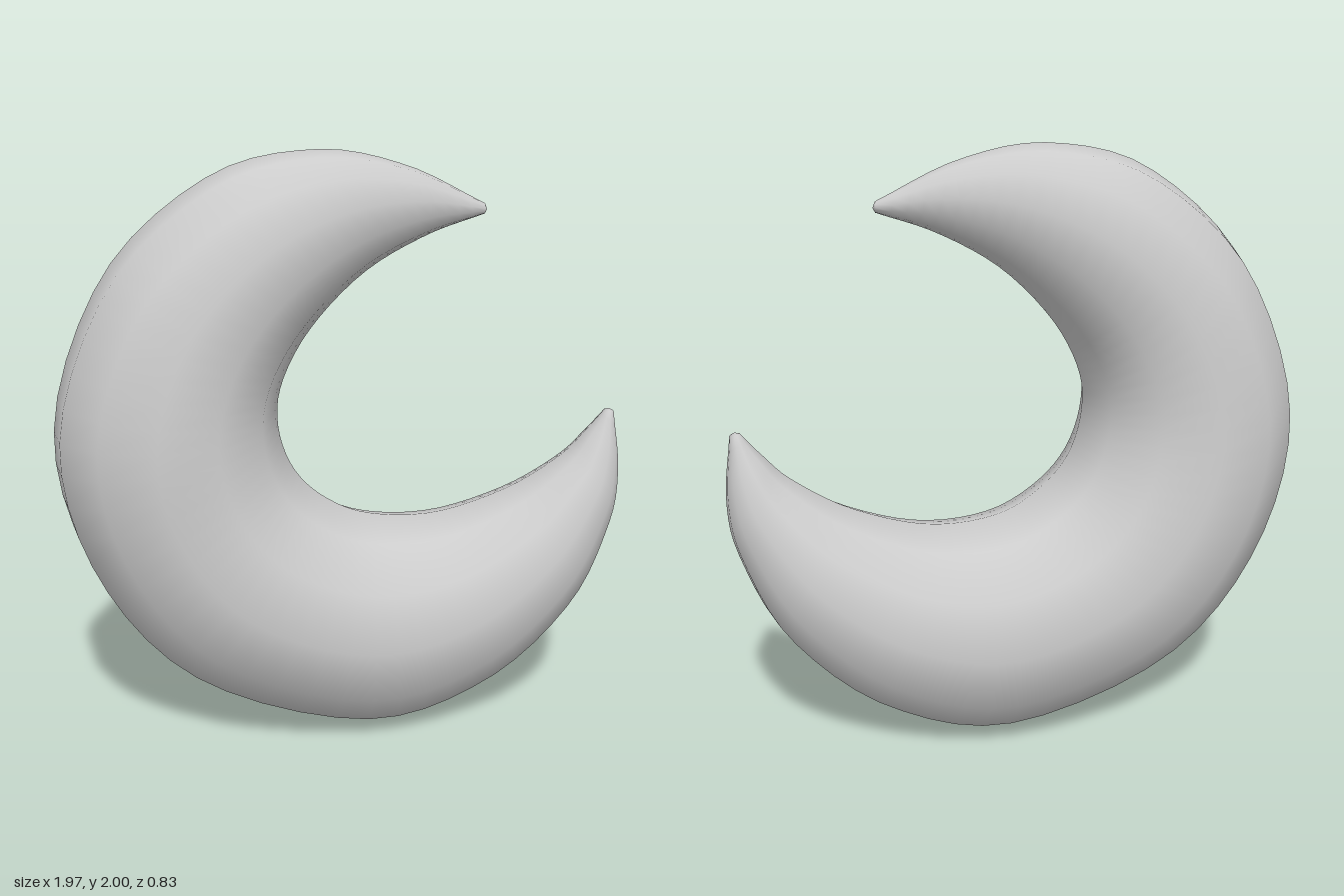
import * as THREE from 'three';

const SIDES = 12;
const STEPS = 60;

// Cross-sections along the crescent: outer x, y, inner x, y, centre z, half width in z
const SECTIONS = [
  [0.47, 1.825, 0.47, 1.79, -0.07, 0.02],
  [0.2, 1.95, 0.27, 1.72, -0.05, 0.11],
  [-0.1, 2.0, 0.06, 1.6, -0.03, 0.2],
  [-0.45, 1.915, -0.12, 1.42, 0, 0.29],
  [-0.8, 1.6, -0.22, 1.24, 0.025, 0.345],
  [-0.985, 1.08, -0.235, 1.09, 0.035, 0.378],
  [-0.87, 0.58, -0.185, 0.94, 0.02, 0.39],
  [-0.53, 0.19, -0.08, 0.83, 0, 0.39],
  [0.06, 0, 0.08, 0.755, -0.035, 0.378],
  [0.5, 0.12, 0.32, 0.745, -0.06, 0.33],
  [0.81, 0.39, 0.58, 0.825, -0.075, 0.245],
  [0.95, 0.68, 0.77, 0.94, -0.08, 0.155],
  [0.982, 0.88, 0.86, 1.03, -0.085, 0.09],
  [0.958, 1.1, 0.925, 1.105, -0.085, 0.02],
];

function crescentGeometry() {
  const smooth = (pick) =>
    new THREE.CatmullRomCurve3(SECTIONS.map(pick), false, 'catmullrom', 0.5);
  const outerCurve = smooth((s) => new THREE.Vector3(s[0], s[1], s[4]));
  const innerCurve = smooth((s) => new THREE.Vector3(s[2], s[3], s[5]));
  const positions = [];
  const index = [];

  // Elliptical rings between the outer and inner outline
  for (let i = 0; i <= STEPS; i++) {
    const o = outerCurve.getPoint(i / STEPS);
    const n = innerCurve.getPoint(i / STEPS);
    const cx = (o.x + n.x) / 2;
    const cy = (o.y + n.y) / 2;
    for (let k = 0; k < SIDES; k++) {
      const a = (k / SIDES) * Math.PI * 2;
      const c = Math.cos(a);
      positions.push(cx + c * (o.x - cx), cy + c * (o.y - cy), o.z + Math.sin(a) * n.z);
    }
  }

  // Skin between neighbouring rings
  for (let i = 0; i < STEPS; i++) {
    for (let k = 0; k < SIDES; k++) {
      const a = i * SIDES + k;
      const b = i * SIDES + ((k + 1) % SIDES);
      index.push(a, a + SIDES, b, b, a + SIDES, b + SIDES);
    }
  }

  // Small blunt tips
  const startTip = positions.length / 3;
  positions.push(0.478, 1.805, -0.07, 0.942, 1.11, -0.085);
  const last = STEPS * SIDES;
  for (let k = 0; k < SIDES; k++) {
    const next = (k + 1) % SIDES;
    index.push(startTip, k, next);
    index.push(startTip + 1, last + next, last + k);
  }

  const geometry = new THREE.BufferGeometry();
  geometry.setAttribute('position', new THREE.Float32BufferAttribute(positions, 3));
  geometry.setIndex(index);
  geometry.computeVertexNormals();
  return geometry;
}

export function createModel() {
  const group = new THREE.Group();
  group.name = 'crescent';
  const material = new THREE.MeshStandardMaterial({ color: 0xcccccc });
  const body = new THREE.Mesh(crescentGeometry(), material);
  body.name = 'crescentBody';
  group.add(body);
  return group;
}
